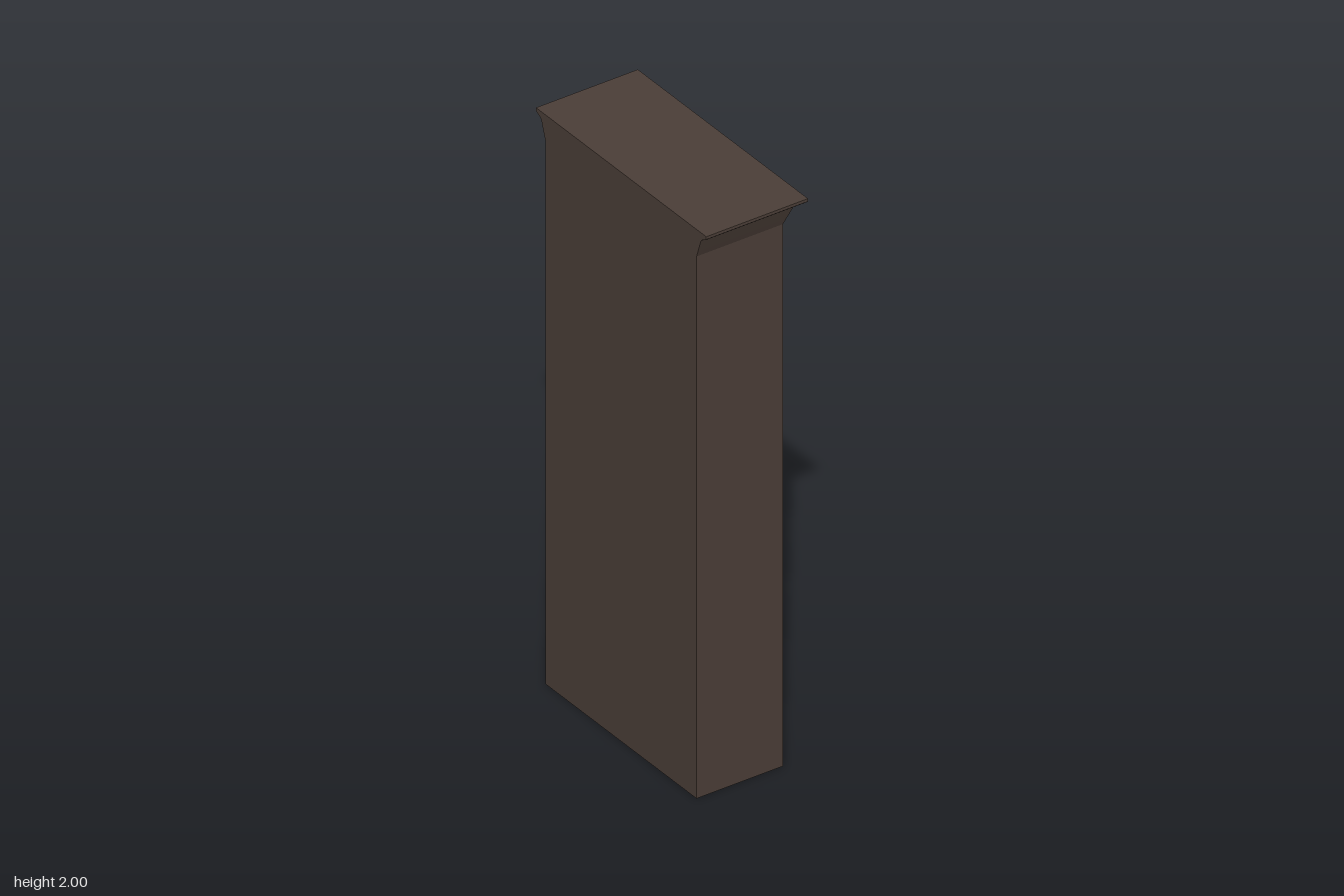
import * as THREE from 'three';

const wood = new THREE.MeshStandardMaterial({ color: 0x4c3f38 });
wood.name = 'darkWood';

const BACK = 0.184, FRONT = -0.13, HALF = 0.39, INNER = 0.33;
const shelfY = k => 0.2 + 0.293 * k;

let seed = 7;
const rand = () => (seed = (seed * 16807) % 2147483647) / 2147483647;

function add(parent, name, geometry, x = 0, y = 0, z = 0) {
  const m = new THREE.Mesh(geometry, wood);
  m.name = name;
  m.position.set(x, y, z);
  parent.add(m);
  return m;
}

// Box given by its limits on each axis
function span(parent, name, x0, x1, y0, y1, z0, z1) {
  return add(parent, name, new THREE.BoxGeometry(x1 - x0, y1 - y0, z1 - z0),
    (x0 + x1) / 2, (y0 + y1) / 2, (z0 + z1) / 2);
}

// Rail with an arched lower edge
function archedRail(parent, name, top, end, middle, z, depth) {
  const s = new THREE.Shape();
  s.moveTo(-INNER, top);
  s.lineTo(-INNER, end);
  s.quadraticCurveTo(0, 2 * middle - end, INNER, end);
  s.lineTo(INNER, top);
  s.closePath();
  add(parent, name, new THREE.ExtrudeGeometry(s, { depth, bevelEnabled: false, curveSegments: 16 }), 0, 0, z);
}

// Flared crown lofted from [half width, front z, y] sections
function crownGeometry() {
  const rows = [[0.39, -0.13, 1.905], [0.397, -0.137, 1.925], [0.412, -0.154, 1.97],
    [0.418, -0.16, 1.977], [0.436, -0.182, 1.986], [0.44, -0.186, 1.99], [0.44, -0.186, 2]];
  const ring = ([h, f, y]) => [[h, y, BACK], [h, y, f], [-h, y, f], [-h, y, BACK]];
  const p = [];
  const quad = (a, b, c, d) => p.push(...a, ...b, ...c, ...a, ...c, ...d);
  for (let j = 0; j < rows.length - 1; j++) {
    const lo = ring(rows[j]), hi = ring(rows[j + 1]);
    for (let i = 0; i < 4; i++) {
      const n = (i + 1) % 4;
      quad(lo[i], lo[n], hi[n], hi[i]);
    }
  }
  quad(...ring(rows[rows.length - 1]));
  const g = new THREE.BufferGeometry();
  g.setAttribute('position', new THREE.Float32BufferAttribute(p, 3));
  g.computeVertexNormals();
  return g;
}

// Book standing on its base, spine towards the opening
function book(w, h, d, lean = 0) {
  const g = new THREE.Group(), t = 0.003;
  g.name = 'book';
  // The pivot is the lower corner that stays on the shelf
  const c = lean > 0 ? w / 2 : lean < 0 ? -w / 2 : 0;
  for (const s of [-1, 1])
    add(g, 'cover', new THREE.BoxGeometry(t, h, d), c + s * (w - t) / 2, h / 2, d / 2);
  add(g, 'spine', new THREE.BoxGeometry(w - 2 * t, h, t), c, h / 2, t / 2);
  add(g, 'pages', new THREE.BoxGeometry(w - 2 * t, h - 0.012, d - 0.008), c, h / 2, d / 2);
  g.rotation.z = lean;
  return g;
}

// Upright books from x0 down to x1 on shelf k
function bookRow(parent, k, x0, x1) {
  let x = x0;
  while (x > x1 + 0.03) {
    const w = 0.018 + rand() * 0.022;
    const b = book(w, 0.18 + rand() * 0.05, 0.15 + rand() * 0.03);
    b.position.set(x - w / 2, shelfY(k), -0.07 + rand() * 0.03);
    parent.add(b);
    x -= w + 0.002;
  }
}

function leaningBook(parent, k, x, lean, w = 0.025, h = 0.2) {
  const b = book(w, h, 0.16, lean);
  b.position.set(x, shelfY(k), -0.075 + rand() * 0.02);
  parent.add(b);
}

// Book lying flat, turned about the vertical
function lyingBook(parent, x, y, z, turn, w = 0.03, h = 0.2, d = 0.15) {
  const holder = new THREE.Group();
  holder.name = 'lyingBook';
  const b = book(w, h, d);
  b.rotation.z = Math.PI / 2;
  b.position.set(h / 2, w / 2, -d / 2);
  holder.add(b);
  holder.position.set(x, y, z);
  holder.rotation.y = turn;
  parent.add(holder);
  return holder;
}

export function createModel() {
  const root = new THREE.Group();
  root.name = 'bookcase';

  // Case, hollow under the bottom shelf
  const frame = new THREE.Group();
  frame.name = 'case';
  root.add(frame);
  for (const s of [-1, 1]) {
    const side = (a, b) => [Math.min(s * a, s * b), Math.max(s * a, s * b)];
    span(frame, 'sidePanel', ...side(0.368, HALF), 0, 1.905, FRONT + 0.02, BACK);
    span(frame, 'frontPost', ...side(INNER, HALF), 0, 1.905, FRONT, FRONT + 0.02);
  }
  span(frame, 'backPanel', -0.368, 0.368, 0, 1.905, 0.168, BACK);
  span(frame, 'topBoard', -0.368, 0.368, 1.885, 1.905, FRONT + 0.02, 0.168);
  span(frame, 'topRail', -INNER, INNER, 1.865, 1.905, FRONT, FRONT + 0.02);
  archedRail(frame, 'archedValance', 1.866, 1.79, 1.85, FRONT + 0.006, 0.014);
  add(frame, 'crown', crownGeometry());

  // Base panel with an arched trim
  span(frame, 'basePanel', -INNER, INNER, 0.012, 0.175, FRONT + 0.018, FRONT + 0.032);
  archedRail(frame, 'archedApron', 0.175, 0.025, 0.06, FRONT + 0.008, 0.01);

  // Shelves
  for (let k = 0; k < 6; k++)
    span(frame, 'shelf', -0.368, 0.368, shelfY(k) - 0.025, shelfY(k), FRONT + (k ? 0.012 : 0.004), 0.168);

  const contents = new THREE.Group();
  contents.name = 'contents';
  root.add(contents);

  // Top shelf: a stack and loose books propped on each other
  const top = shelfY(5);
  [0.08, -0.06, 0.04].forEach((turn, i) =>
    lyingBook(contents, 0.17 - i * 0.01, top + i * 0.031, 0.02, turn, 0.03, 0.22 - i * 0.01, 0.17));
  lyingBook(contents, -0.12, top, 0.04, 0.3, 0.03, 0.2, 0.16);
  lyingBook(contents, -0.18, top + 0.035, 0.0, -0.35, 0.025, 0.24, 0.17).rotation.z = 0.22;

  // Second shelf: leaning pair against a full row
  leaningBook(contents, 4, 0.28, 0.35);
  leaningBook(contents, 4, 0.235, 0.3, 0.022);
  bookRow(contents, 4, 0.17, -INNER);

  // Third shelf: rounded tray at the back, lying books, then a row
  const tray = new THREE.Shape();
  tray.absellipse(-0.11, 0.04, 0.04, 0.04, Math.PI, 1.5 * Math.PI);
  tray.absellipse(0.11, 0.04, 0.04, 0.04, 1.5 * Math.PI, 2 * Math.PI);
  tray.lineTo(0.15, 0.18);
  tray.lineTo(-0.15, 0.18);
  tray.closePath();
  add(contents, 'roundedTray', new THREE.ExtrudeGeometry(tray, { depth: 0.02, bevelEnabled: false }),
    0.17, shelfY(3) + 0.05, 0.146);
  lyingBook(contents, 0.17, shelfY(3), 0, 0.15, 0.03, 0.2, 0.16);
  lyingBook(contents, 0.16, shelfY(3) + 0.031, 0, -0.1, 0.022, 0.18, 0.15);
  leaningBook(contents, 3, 0.03, 0.25);
  leaningBook(contents, 3, -0.005, 0.2, 0.022);
  bookRow(contents, 3, -0.05, -INNER);

  // Fourth shelf: two rows with a leaning book between
  bookRow(contents, 2, 0.32, 0.05);
  leaningBook(contents, 2, 0.02, 0.18, 0.02, 0.21);
  bookRow(contents, 2, -0.025, -INNER);

  // Fifth shelf: books leaning on the side, then a row
  leaningBook(contents, 1, 0.285, -0.2);
  leaningBook(contents, 1, 0.25, -0.2, 0.022, 0.22);
  leaningBook(contents, 1, 0.2, -0.12, 0.02, 0.19);
  bookRow(contents, 1, 0.165, -INNER);

  // Bottom shelf: scattered sheets and a few books
  for (let i = 0; i < 9; i++) {
    const sheet = add(contents, 'paperSheet', new THREE.BoxGeometry(0.13, 0.002, 0.1),
      0.24 - i * 0.055, shelfY(0) + 0.001 + i * 0.0015, 0.03 + (rand() - 0.5) * 0.1);
    sheet.rotation.y = rand() * 3;
  }
  lyingBook(contents, -0.2, shelfY(0) + 0.014, -0.01, 0.25, 0.03, 0.17, 0.14);
  lyingBook(contents, -0.17, shelfY(0) + 0.046, 0.03, -0.3, 0.02, 0.18, 0.13);
  const board = add(contents, 'proppedBoard', new THREE.BoxGeometry(0.26, 0.15, 0.008), -0.12, shelfY(0) + 0.08, 0.143);
  board.rotation.x = 0.2;

  return root;
}
